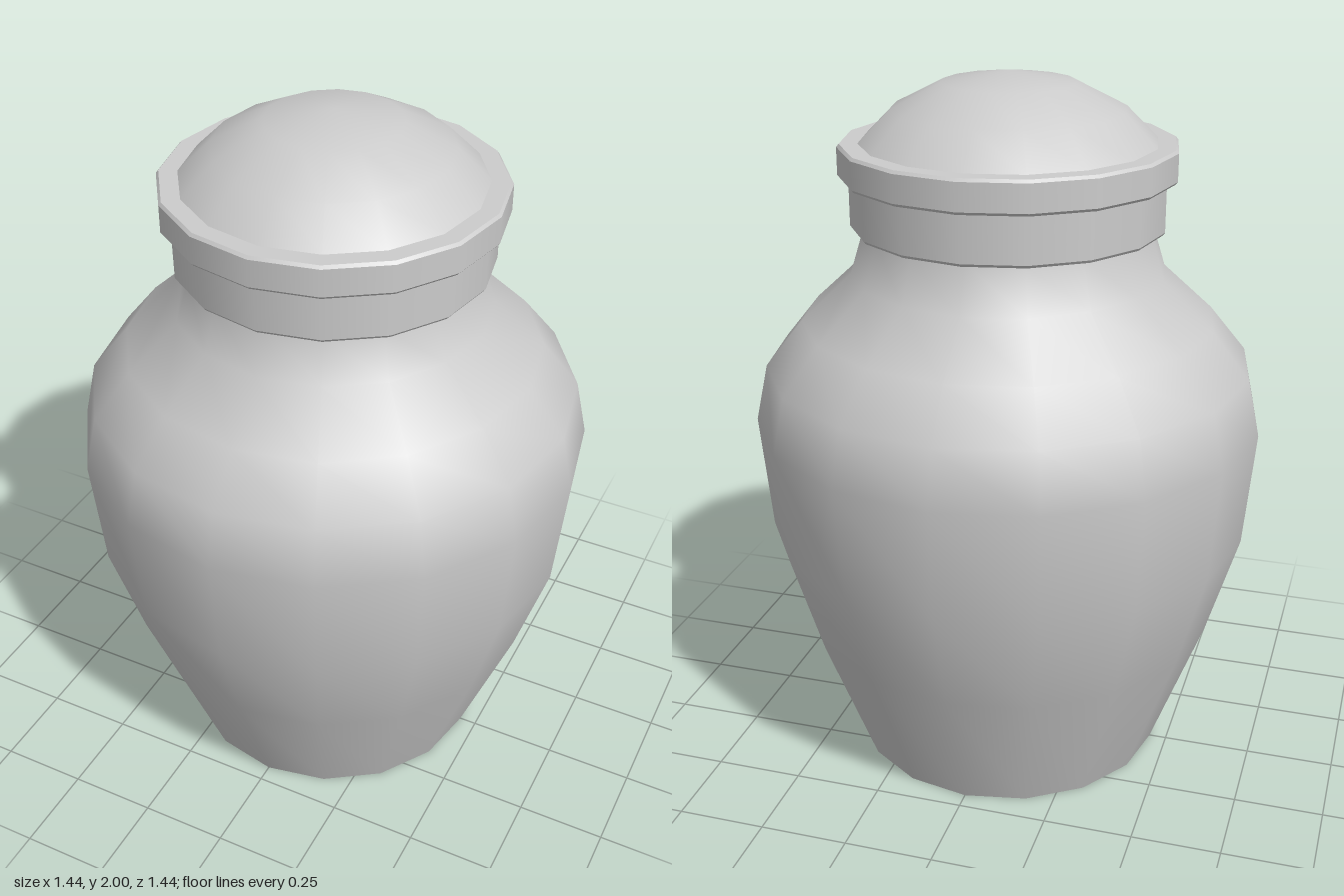
import * as THREE from 'three';

const SIDES = 16;
const material = new THREE.MeshStandardMaterial({ color: 0xcccccc });

// Revolve one smooth run of [radius, height] points, listed bottom to top
function turned(name, points) {
  const geometry = new THREE.LatheGeometry(points.map(([r, y]) => new THREE.Vector2(r, y)), SIDES);
  // Points on the axis get a straight vertical normal
  const { position, normal } = geometry.attributes;
  for (let i = 0; i < position.count; i++) {
    if (Math.hypot(position.getX(i), position.getZ(i)) < 1e-6) {
      normal.setXYZ(i, 0, position.getY(i) > 1 ? 1 : -1, 0);
    }
  }
  const mesh = new THREE.Mesh(geometry, material);
  mesh.name = name;
  return mesh;
}

// Revolve a profile with every corner kept sharp
function turnedSharp(name, points) {
  const group = new THREE.Group();
  group.name = name;
  for (let i = 1; i < points.length; i++) {
    group.add(turned(`${name}Band${i}`, [points[i - 1], points[i]]));
  }
  return group;
}

export function createModel() {
  const model = new THREE.Group();
  model.name = 'urn';

  // Jar: flat base and smooth shouldered wall rising into the neck
  const jar = new THREE.Group();
  jar.name = 'jar';
  jar.add(
    turned('base', [[0, 0], [0.45, 0]]),
    turned('wall', [
      [0.45, 0], [0.6, 0.4], [0.69, 0.7], [0.72, 1.03], [0.685, 1.19],
      [0.58, 1.32], [0.44, 1.45], [0.4, 1.58], [0.4, 1.6],
    ]),
  );

  // Lid: collar, wider rim with softened edges, and dome
  const lid = new THREE.Group();
  lid.name = 'lid';
  lid.add(
    turnedSharp('collar', [[0.36, 1.58], [0.43, 1.58], [0.436, 1.588], [0.436, 1.72]]),
    turnedSharp('rim', [
      [0.42, 1.72], [0.458, 1.72], [0.465, 1.728],
      [0.465, 1.804], [0.458, 1.812], [0.4, 1.812],
    ]),
    turned('dome', [[0.408, 1.812], [0.32, 1.9], [0.183, 1.97], [0, 2]]),
  );

  model.add(jar, lid);
  return model;
}
